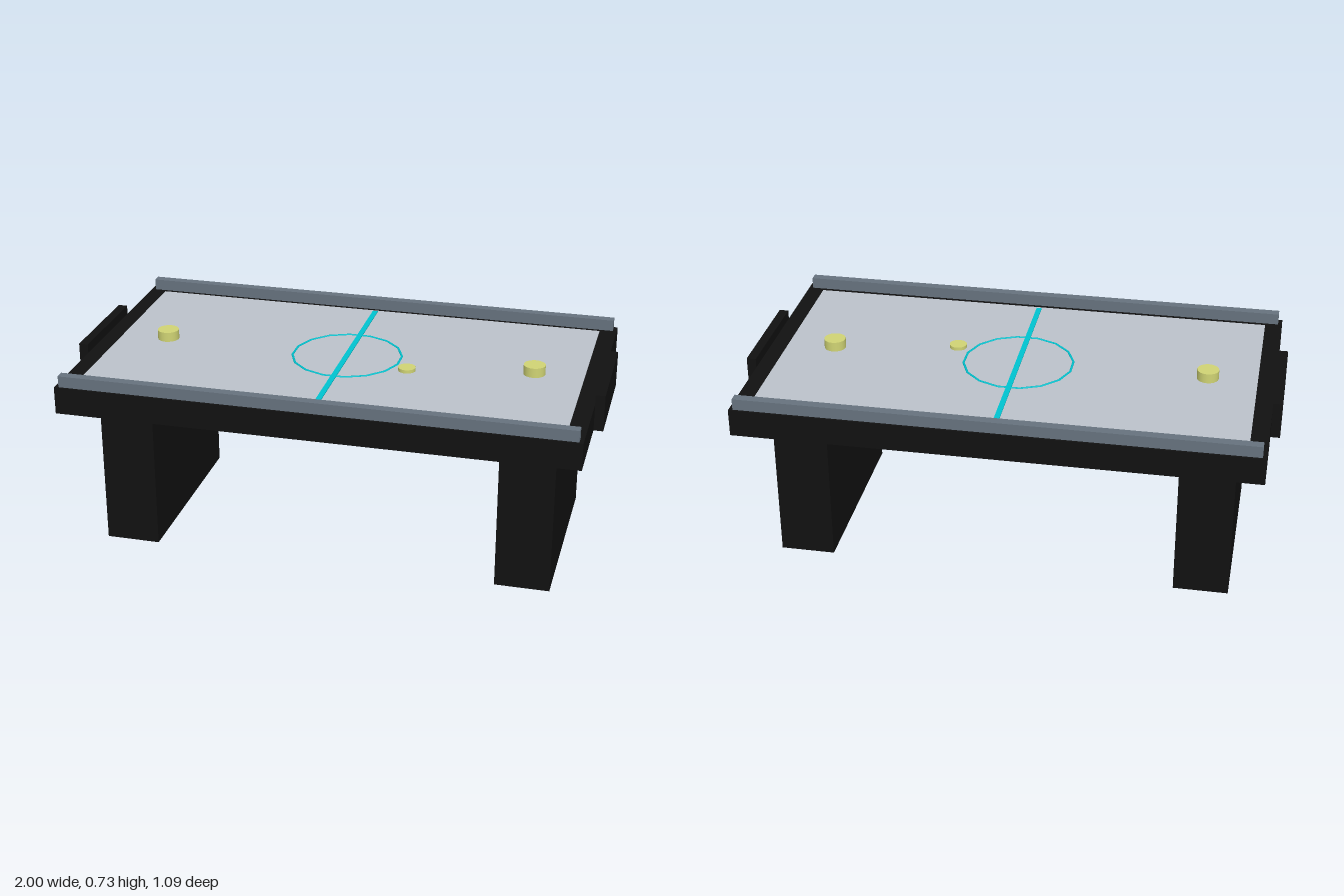
import * as THREE from 'three';

const material = (name, color) => {
  const m = new THREE.MeshStandardMaterial({ color });
  m.name = name;
  return m;
};

export function createModel() {
  const black = material('black', 0x111111);
  const grey = material('rail grey', 0x66727e);
  const pale = material('playfield grey', 0xbcc3cb);
  const cyan = material('cyan', 0x00c4d0);
  const yellow = material('yellow', 0xd0d474);
  const group = new THREE.Group();
  group.name = 'airHockeyTable';

  const add = (name, geometry, mat, x, y, z) => {
    const mesh = new THREE.Mesh(geometry, mat);
    mesh.name = name;
    mesh.position.set(x, y, z);
    group.add(mesh);
    return mesh;
  };
  // Box given by its width, bottom, top and depth
  const box = (name, mat, x, z, w, y0, y1, d) =>
    add(name, new THREE.BoxGeometry(w, y1 - y0, d), mat, x, (y0 + y1) / 2, z);
  // Upright disc resting on the playfield
  const disc = (name, x, z, r, top) => {
    const h = top - 0.69;
    const geometry = new THREE.CylinderGeometry(r, r, h, 20);
    return add(name, geometry, yellow, x, 0.69 + h / 2, z);
  };

  // Table body and playing surface
  box('tableBody', black, 0, 0, 1.93, 0.587, 0.69, 1.09);
  box('playfield', pale, 0, 0, 1.8, 0.686, 0.694, 0.96);

  // Painted centre line and circle
  box('centreLine', cyan, 0, 0, 0.02, 0.692, 0.698, 0.93);
  const circle = add('centreCircle', new THREE.TorusGeometry(0.208, 0.005, 6, 16), cyan, 0, 0.693, 0);
  circle.rotation.set(-Math.PI / 2, 0, Math.PI / 16);

  // Mirrored legs, goals, side rails and mallets
  for (const [side, s] of [['left', 1], ['right', -1]]) {
    box(side + 'Leg', black, s * 0.757, 0, 0.205, 0, 0.587, 0.76);
    box(side + 'Goal', black, s * 0.9825, 0, 0.035, 0.587, 0.725, 0.42);
    disc(side + 'Mallet', s * 0.715, 0, 0.041, 0.731);
  }
  for (const [end, s] of [['front', 1], ['back', -1]]) {
    box(end + 'Rail', grey, 0, s * 0.52, 1.9, 0.688, 0.733, 0.035);
  }

  disc('puck', 0.25, 0.083, 0.033, 0.707);
  return group;
}
